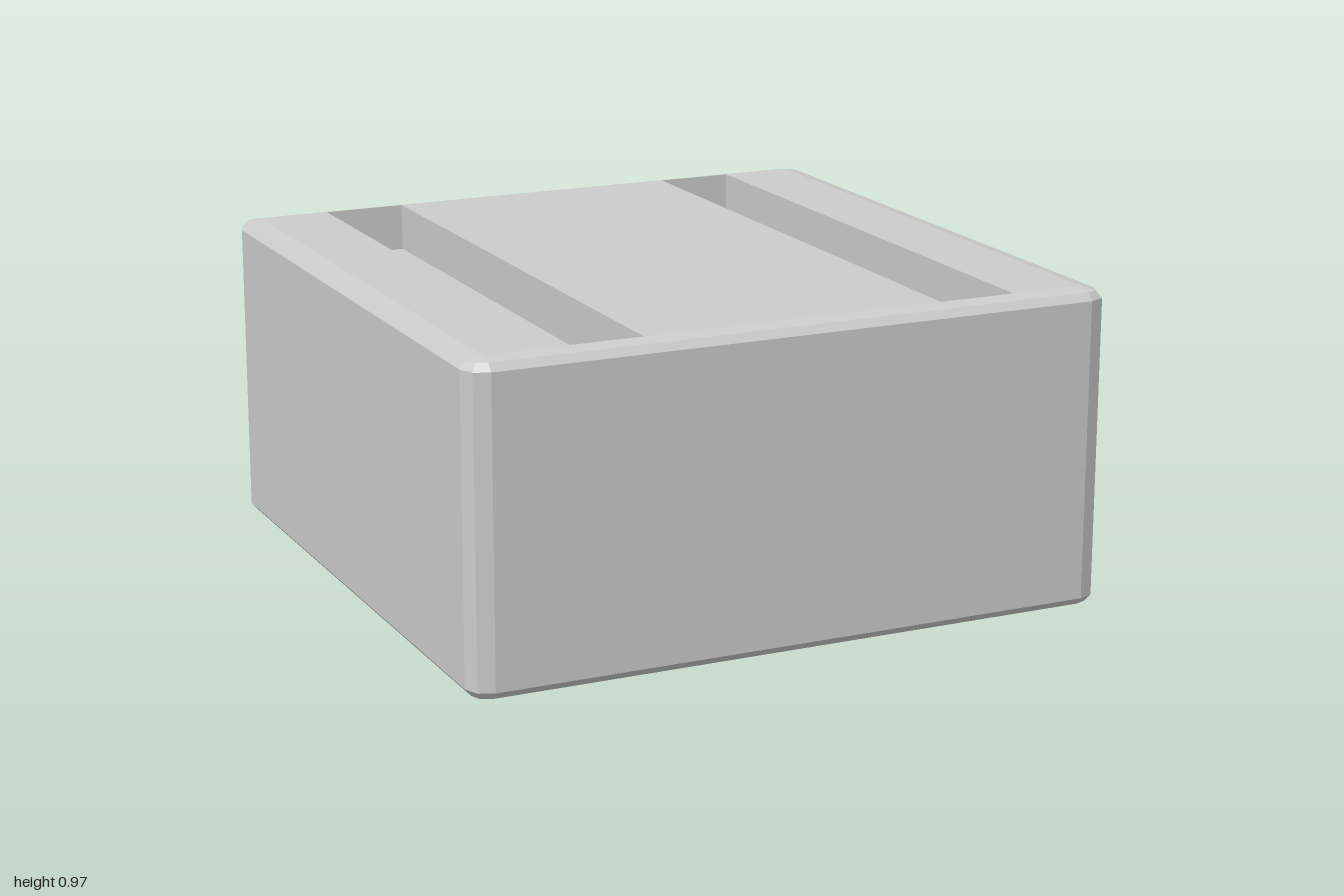
import * as THREE from 'three';

const HEIGHT = 0.97;
const FLAT = 0.935;        // half width of the flat top and bottom
const BEVEL = 0.065;       // bevel width in plan
const BEVEL_Y = 0.032;     // bevel height
const GROOVE_DEPTH = 0.145;
const GROOVES = [[-0.715, -0.46], [0.47, 0.71]];

const material = new THREE.MeshStandardMaterial({ color: 0xcccccc, flatShading: true });

// Mesh from a list of four-cornered faces, leaving out collapsed triangles
function quadMesh(name, quads) {
  const pos = [];
  for (const [a, b, c, d] of quads) {
    for (const tri of [[a, b, c], [a, c, d]]) {
      const t = new THREE.Triangle(...tri.map((p) => new THREE.Vector3(...p)));
      if (t.getArea() > 1e-8) pos.push(...tri.flat());
    }
  }
  const geometry = new THREE.BufferGeometry();
  geometry.setAttribute('position', new THREE.Float32BufferAttribute(pos, 3));
  geometry.computeVertexNormals();
  const mesh = new THREE.Mesh(geometry, material);
  mesh.name = name;
  return mesh;
}

// Horizontal outline: three points around each corner
function ring(radius, y) {
  const points = [];
  for (let corner = 0; corner < 4; corner++) {
    const mid = (corner + 0.5) * Math.PI / 2;
    const cx = FLAT * Math.sign(Math.cos(mid));
    const cz = FLAT * Math.sign(Math.sin(mid));
    for (let s = 0; s < 3; s++) {
      const a = corner * Math.PI / 2 + s * Math.PI / 4;
      points.push([cx + radius * Math.cos(a), y, cz + radius * Math.sin(a)]);
    }
  }
  return points;
}

export function createModel() {
  const group = new THREE.Group();
  group.name = 'groovedBlock';

  // Sides and two-step bevels, from the bottom outline to the top one
  const rings = [];
  for (const top of [false, true]) {
    for (let s = 0; s < 3; s++) {
      const phi = (top ? s : 2 - s) * Math.PI / 4;
      const edge = BEVEL_Y * (1 - Math.sin(phi));
      rings.push(ring(BEVEL * Math.cos(phi), top ? HEIGHT - edge : edge));
    }
  }
  const shell = [];
  for (let k = 0; k < rings.length - 1; k++) {
    const lo = rings[k], hi = rings[k + 1];
    for (let i = 0; i < lo.length; i++) {
      const j = (i + 1) % lo.length;
      shell.push([lo[i], hi[i], hi[j], lo[j]]);
    }
  }
  // Underside
  shell.push([[-FLAT, 0, -FLAT], [FLAT, 0, -FLAT], [FLAT, 0, FLAT], [-FLAT, 0, FLAT]]);
  group.add(quadMesh('body', shell));

  // Flat strips of the top between the grooves
  const floorY = HEIGHT - GROOVE_DEPTH;
  const alongZ = ([x0, y0], [x1, y1]) =>
    [[x0, y0, -FLAT], [x0, y0, FLAT], [x1, y1, FLAT], [x1, y1, -FLAT]];
  const xs = [-FLAT, ...GROOVES.flat(), FLAT];
  const strips = [];
  for (let i = 0; i < xs.length; i += 2) strips.push(alongZ([xs[i], HEIGHT], [xs[i + 1], HEIGHT]));
  group.add(quadMesh('topSurface', strips));

  // Grooves: two long walls, a floor and two end walls each
  GROOVES.forEach(([l, r], n) => {
    const path = [[l, HEIGHT], [l, floorY], [r, floorY], [r, HEIGHT]];
    const faces = [0, 1, 2].map((i) => alongZ(path[i], path[i + 1]));
    const end = (z) => [[l, floorY, z], [r, floorY, z], [r, HEIGHT, z], [l, HEIGHT, z]];
    faces.push(end(-FLAT), end(FLAT).reverse());
    group.add(quadMesh(n === 0 ? 'rightGroove' : 'leftGroove', faces));
  });

  return group;
}
